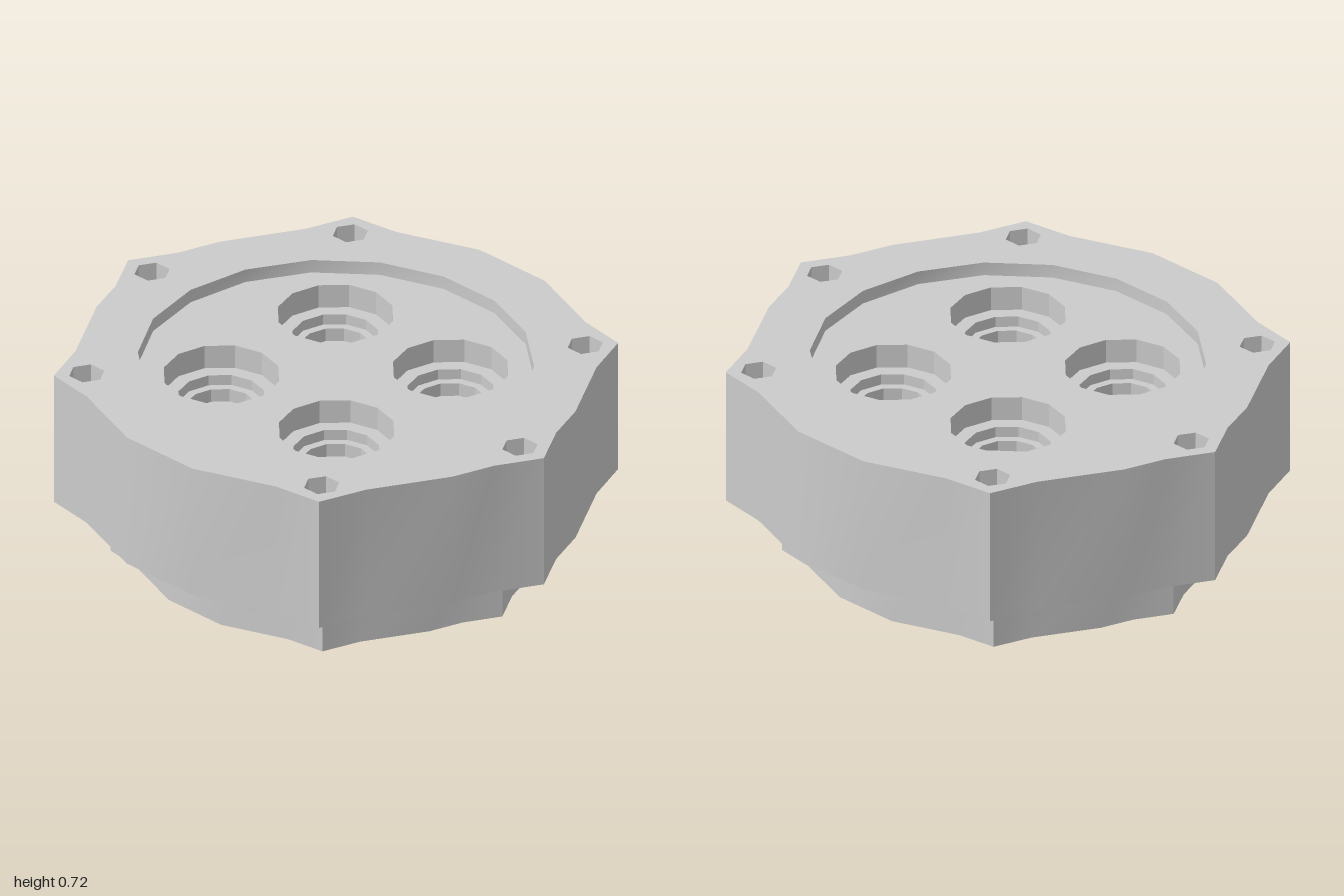
import * as THREE from 'three';
import { mergeGeometries, toCreasedNormals } from 'three/addons/utils/BufferGeometryUtils.js';

const BASE_TOP = 0.21, TOP = 0.72, FLOOR = 0.67;
const V = (x, y) => new THREE.Vector2(x, y);

// Regular polygon in plan, counter-clockwise
function ngon(cx, cy, r, n, squash = 1) {
  return Array.from({ length: n }, (_, i) => {
    const a = (i / n) * Math.PI * 2;
    return V(cx + r * Math.cos(a), cy + r * squash * Math.sin(a));
  });
}

// Six-cornered flange outline: one quarter mirrored to all four
function outline(scale) {
  const q = [[1, 0], [0.91, 0.158], [0.857, 0.312], [0.7, 0.585], [0.638, 0.76], [0.455, 0.787], [0.157, 0.897]];
  const half = [...q, ...q.slice(1).reverse().map(([x, y]) => [-x, y])];
  const full = [...half, [-1, 0], ...half.slice(1).reverse().map(([x, y]) => [x, -y])];
  return full.map(([x, y]) => V(x * scale, y * scale));
}

// Flat horizontal face with holes, facing up or down
function cap(points, y, holes = [], up = true) {
  const shape = new THREE.Shape(points);
  shape.holes = holes.map((h) => new THREE.Path(h));
  const g = new THREE.ShapeGeometry(shape).toNonIndexed();
  g.deleteAttribute('uv');
  g.deleteAttribute('normal');
  g.rotateX(up ? -Math.PI / 2 : Math.PI / 2);
  return g.translate(0, y, 0);
}

// Vertical wall along a closed outline, facing outward or into a pocket
function wall(points, y0, y1, inward = false) {
  const p = inward ? [...points].reverse() : points;
  const pos = [];
  p.forEach((a, i) => {
    const b = p[(i + 1) % p.length];
    pos.push(a.x, y0, -a.y, b.x, y0, -b.y, b.x, y1, -b.y);
    pos.push(a.x, y0, -a.y, b.x, y1, -b.y, a.x, y1, -a.y);
  });
  const g = new THREE.BufferGeometry();
  g.setAttribute('position', new THREE.Float32BufferAttribute(pos, 3));
  return g;
}

export function createModel() {
  const group = new THREE.Group();
  const material = new THREE.MeshStandardMaterial({ color: 0xcccccc });
  const add = (name, parts) => {
    const mesh = new THREE.Mesh(toCreasedNormals(mergeGeometries(parts), THREE.MathUtils.degToRad(28)), material);
    mesh.name = name;
    group.add(mesh);
  };

  const body = outline(1), foot = outline(0.8);
  const recess = ngon(0, 0, 0.7, 18, 0.98);
  const bolts = [[0.885, 0], [-0.885, 0]];
  const ports = [];
  for (const sx of [-1, 1]) for (const sy of [-1, 1]) {
    bolts.push([sx * 0.565, sy * 0.67]);
    ports.push([sx * 0.277, sy * 0.29]);
  }
  const boltHoles = bolts.map(([x, y]) => ngon(x, y, 0.064, 6));

  // Stepped foot and main block
  add('foot', [wall(foot, 0, BASE_TOP), cap(foot, 0, [], false)]);
  add('block', [
    wall(body, BASE_TOP, TOP),
    cap(body, BASE_TOP, [foot], false),
    cap(body, TOP, [recess, ...boltHoles]),
  ]);

  // Shallow recess holding the four ports
  add('recess', [
    wall(recess, FLOOR, TOP, true),
    cap(recess, FLOOR, ports.map(([x, y]) => ngon(x, y, 0.207, 12))),
  ]);

  // Ports step down through three radii
  for (const [x, y] of ports) {
    const rings = [0.207, 0.155, 0.125].map((r) => ngon(x, y, r, 12));
    const levels = [FLOOR, 0.58, 0.54, 0.49];
    add('port', rings.flatMap((ring, i) => [
      wall(ring, levels[i + 1], levels[i], true),
      cap(ring, levels[i + 1], rings[i + 1] ? [rings[i + 1]] : []),
    ]));
  }

  // Hexagonal bolt holes at the corners
  for (const hole of boltHoles) add('boltHole', [wall(hole, 0.55, TOP, true), cap(hole, 0.55)]);

  return group;
}
